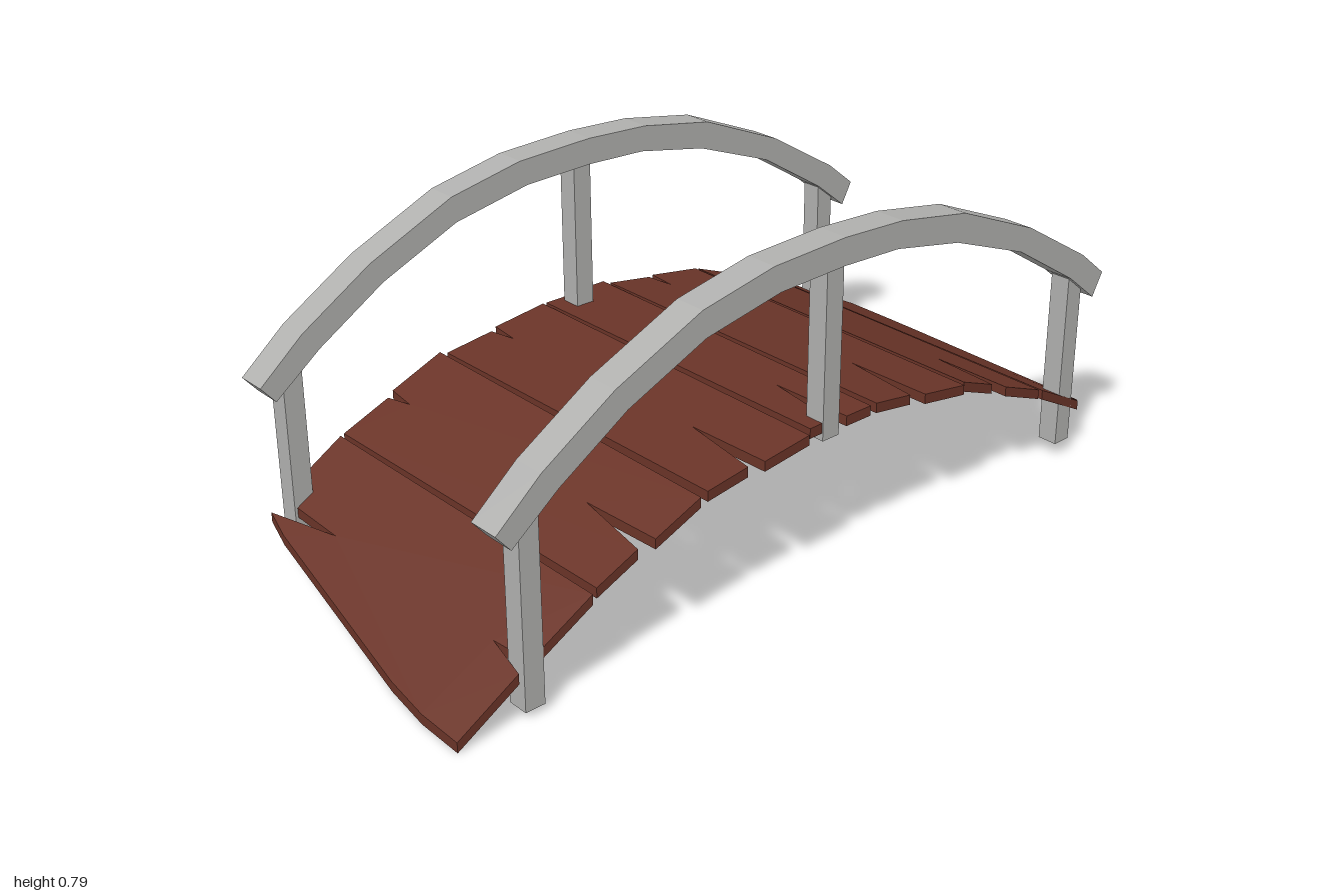
import * as THREE from 'three';

const wood = new THREE.MeshStandardMaterial({ color: 0x6a3428 });
wood.name = 'redBrownWood';
const grey = new THREE.MeshStandardMaterial({ color: 0xb0b0ae });
grey.name = 'paleGrey';

const toShape = (points) => new THREE.Shape(points.map(([a, b]) => new THREE.Vector2(a, b)));

function addMesh(parent, geometry, material, name) {
  const mesh = new THREE.Mesh(geometry, material);
  mesh.name = name;
  parent.add(mesh);
  return mesh;
}

// A flat plank from an (x, z) outline, tilted so that its top passes through
// two (z, y) points of the deck arch.
function plankGeometry(outline, [z0, y0], [z1, y1]) {
  const thickness = 0.024;
  const geo = new THREE.ExtrudeGeometry(toShape(outline.map(([x, z]) => [x, -z])), {
    depth: thickness, bevelEnabled: false,
  });
  geo.rotateX(-Math.PI / 2);
  const pos = geo.attributes.position;
  for (let i = 0; i < pos.count; i++) {
    const t = (pos.getZ(i) - z0) / (z1 - z0);
    pos.setY(i, pos.getY(i) - thickness + y0 + t * (y1 - y0));
  }
  geo.computeVertexNormals();
  return geo;
}

function createDeck() {
  const deck = new THREE.Group();
  deck.name = 'deck';
  const arch = [[-1, 0.05], [-0.69, 0.215], [-0.407, 0.325], [-0.11, 0.372],
    [0.083, 0.372], [0.38, 0.335], [0.665, 0.22], [1, 0.026]];
  const gap = 0.004;
  // Middle planks, each with a long split on the left and a short one on the right
  const splits = [-0.54, -0.25, -0.01, 0.237, 0.527];
  splits.forEach((s, k) => {
    const a = arch[k + 1], b = arch[k + 2];
    const z0 = a[0] + gap, z1 = b[0] - gap;
    const r = 0.45 + 0.008 * (k % 2), l = -0.45 - 0.008 * ((k + 1) % 2);
    const outline = [
      [l, z0], [r, z0 + 0.006], [r, s - 0.016], [0.24, s - 0.01], [r - 0.012, s + 0.02],
      [r - 0.01, z1 - 0.006], [l + 0.01, z1], [l + 0.01, s + 0.012], [l + 0.08, s], [l, s - 0.008],
    ];
    addMesh(deck, plankGeometry(outline, a, b), wood, 'plank' + (k + 1));
  });
  // End planks with slanting broken ends
  const back = [
    [-0.46, -1], [-0.32, -1], [-0.2, -0.987], [0.39, -0.888], [0.42, -0.875], [0.22, -0.85],
    [0.4, -0.862], [0.44, -0.85], [0.45, -0.694], [-0.455, -0.694],
    [-0.45, -0.84], [-0.38, -0.85], [-0.458, -0.86],
  ];
  addMesh(deck, plankGeometry(back, arch[0], arch[1]), wood, 'backPlank');
  const front = [
    [-0.45, 0.669], [0.445, 0.669], [0.44, 0.822], [0.33, 0.828], [0.44, 0.85], [0.44, 1],
    [0.32, 0.998], [0.2, 0.985], [-0.35, 0.89], [-0.435, 0.868], [-0.225, 0.835],
    [-0.4, 0.832], [-0.445, 0.82],
  ];
  addMesh(deck, plankGeometry(front, arch[6], arch[7]), wood, 'frontPlank');
  return deck;
}

// Arched handrail and its three posts, centred on x = 0
function createRailing(name) {
  const railing = new THREE.Group();
  railing.name = name;
  const profile = [
    [0.9, 0.44], [0.79, 0.533], [0.61, 0.645], [0.39, 0.742], [0.2, 0.78], [0, 0.788],
    [-0.17, 0.78], [-0.37, 0.745], [-0.6, 0.65], [-0.8, 0.53], [-0.88, 0.465],
    [-0.85, 0.41], [-0.76, 0.482], [-0.57, 0.6], [-0.35, 0.682], [-0.16, 0.719],
    [0, 0.725], [0.18, 0.719], [0.38, 0.68], [0.58, 0.593], [0.75, 0.487], [0.865, 0.398],
  ];
  const width = 0.075;
  const rail = new THREE.ExtrudeGeometry(toShape(profile), { depth: width, bevelEnabled: false });
  rail.rotateY(-Math.PI / 2);
  rail.translate(width / 2, 0, 0);
  addMesh(railing, rail, grey, 'handrail');

  for (const [label, z, bottom, top] of [
    ['frontPost', 0.815, 0.018, 0.46], ['middlePost', 0.013, 0.33, 0.74], ['backPost', -0.795, 0.04, 0.48],
  ]) {
    const post = new THREE.BoxGeometry(0.05, top - bottom, 0.048);
    addMesh(railing, post, grey, label).position.set(0, (top + bottom) / 2, z);
  }
  return railing;
}

export function createModel() {
  const bridge = new THREE.Group();
  bridge.name = 'footbridge';
  bridge.add(createDeck());
  const left = createRailing('leftRailing');
  left.position.x = 0.417;
  const right = createRailing('rightRailing');
  right.position.x = -0.406;
  bridge.add(left, right);
  return bridge;
}
